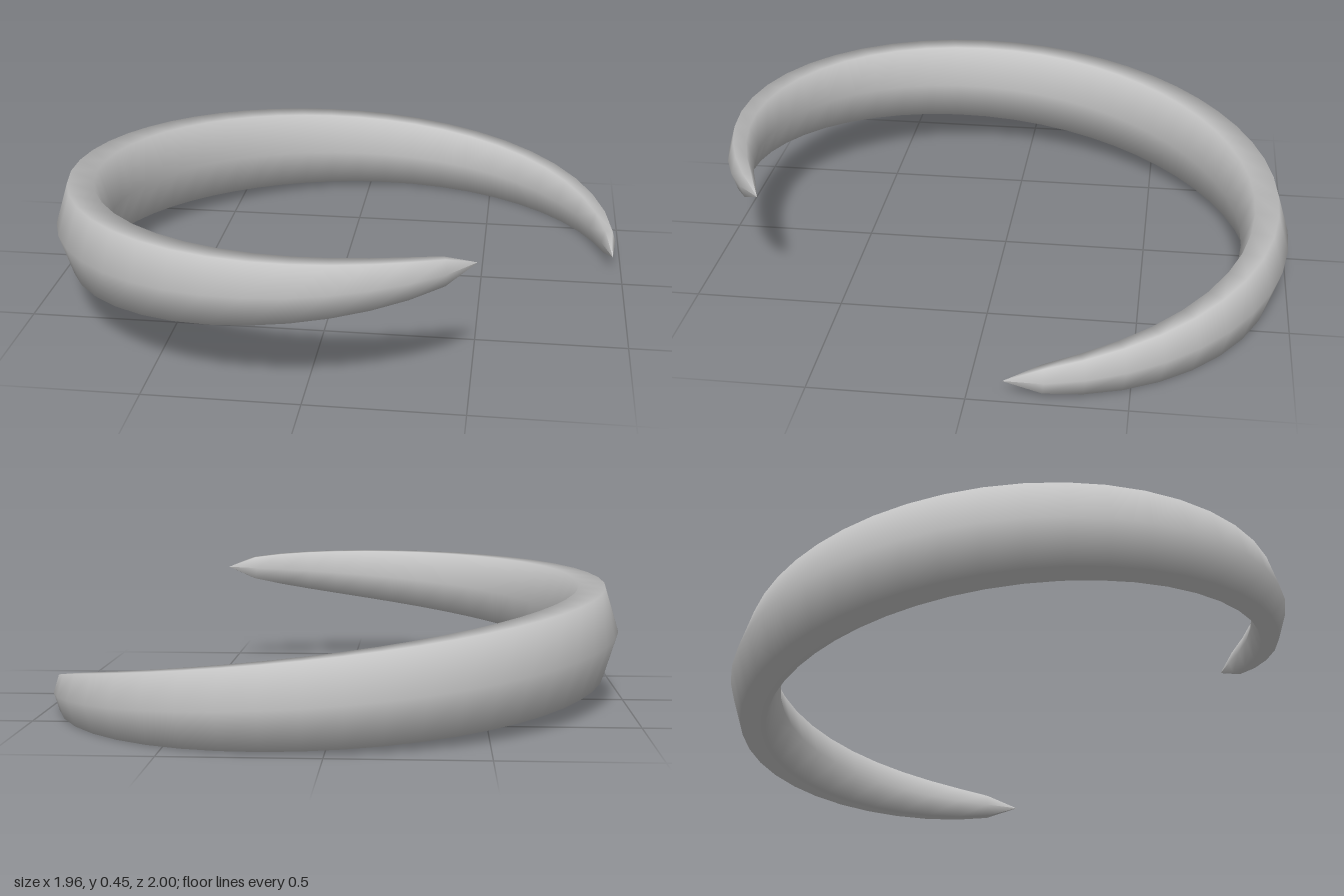
import * as THREE from 'three';

const SEGMENTS = 40; // steps along the sweep
const SIDES = 6;     // hexagonal cross-section
const START = THREE.MathUtils.degToRad(7.4);
const END = THREE.MathUtils.degToRad(302);

// Rising, slightly oval spiral with a hexagonal section tapering to both tips
function hornGeometry() {
  const positions = [];
  const index = [];
  for (let i = 0; i <= SEGMENTS; i++) {
    const t = i / SEGMENTS;
    const phi = START + (END - START) * t;
    const radius = 0.925 + 0.045 * Math.sin(2 * phi);
    const taper = Math.sqrt(Math.max(0, Math.sin(Math.PI * t)));
    for (let j = 0; j < SIDES; j++) {
      const a = (j / SIDES) * Math.PI * 2;
      const r = radius + 0.096 * taper * Math.cos(a);
      positions.push(
        0.04 + r * Math.cos(phi),
        0.06 + 0.34 * t + 0.18 * taper * Math.sin(a),
        0.01 - r * Math.sin(phi)
      );
    }
  }
  for (let i = 0; i < SEGMENTS; i++) {
    for (let j = 0; j < SIDES; j++) {
      const k = (j + 1) % SIDES;
      const a = i * SIDES + j, d = i * SIDES + k;
      const b = a + SIDES, c = d + SIDES;
      // one triangle per side at the pointed ends
      if (i < SEGMENTS - 1) index.push(a, b, c);
      else index.push(a, b, d);
      if (i > 0 && i < SEGMENTS - 1) index.push(a, c, d);
    }
  }
  const geometry = new THREE.BufferGeometry();
  geometry.setAttribute('position', new THREE.Float32BufferAttribute(positions, 3));
  geometry.setIndex(index);
  geometry.computeVertexNormals();
  return geometry;
}

export function createModel() {
  const model = new THREE.Group();
  model.name = 'spiralCrescent';
  const grey = new THREE.MeshStandardMaterial({ color: 0xc4c4c4 });
  grey.name = 'lightGrey';
  const horn = new THREE.Mesh(hornGeometry(), grey);
  horn.name = 'taperedSpiral';
  model.add(horn);
  return model;
}
